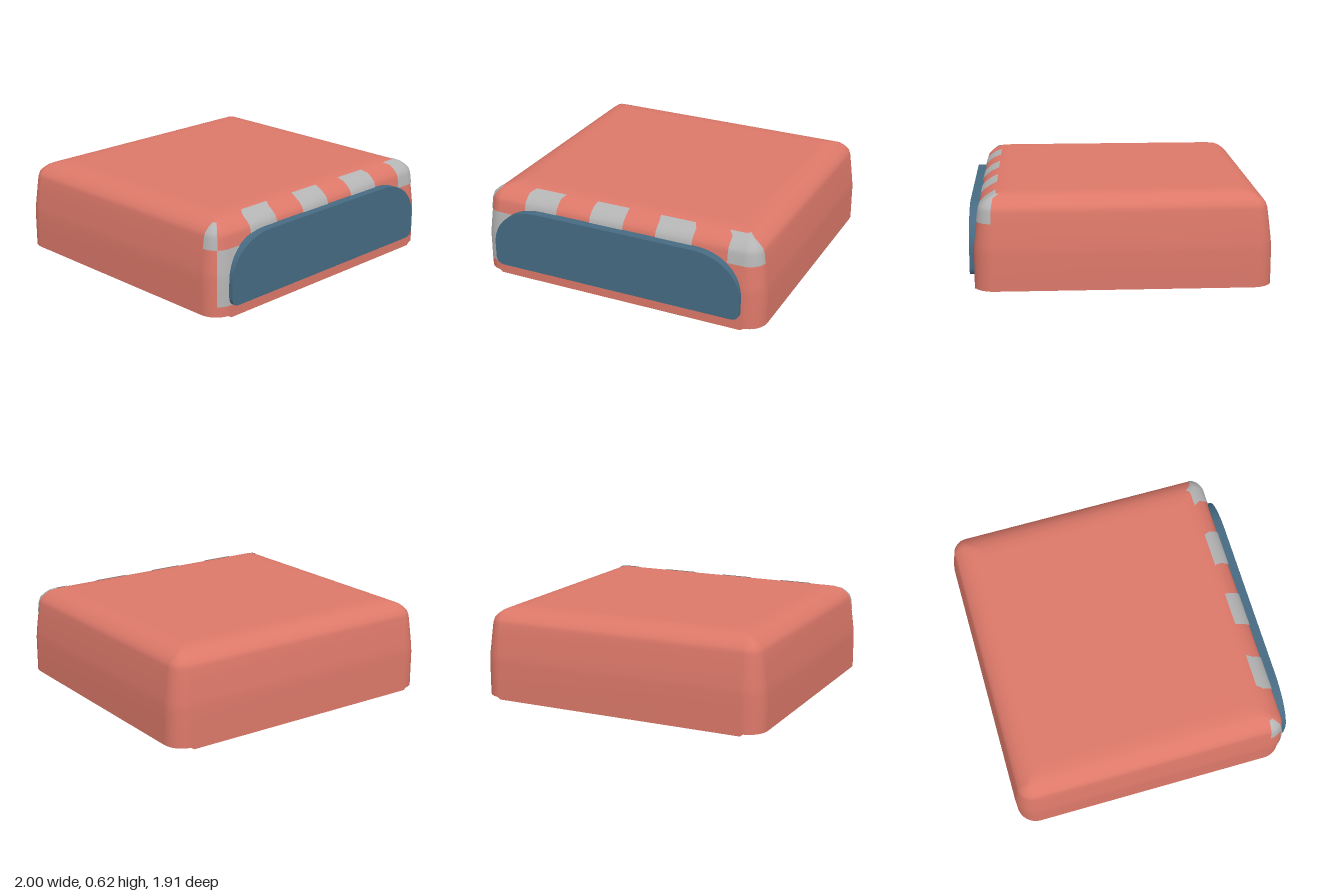
import * as THREE from 'three';

const mat = (name, color, side = THREE.FrontSide) => {
  const m = new THREE.MeshStandardMaterial({ color, side });
  m.name = name;
  return m;
};

const HALF_X = 1, HALF_Z = 0.94, MID_Z = -0.015, RADIUS = 0.13;

// Wall profile: [height, inset from the widest outline]
const PROFILE = [[0, 0], [0.1, 0], [0.25, 0], [0.31, 0.005], [0.42, 0.019], [0.51, 0.031], [0.54, 0.042],
  [0.567, 0.07], [0.588, 0.1], [0.604, 0.135], [0.614, 0.18], [0.617, 0.24]];

// Point on the outline: |s| <= 1 is the straight front, 1..2 wraps the corner
function outlinePoint(s, y, inset, back = 1) {
  const r = Math.max(RADIUS - inset, 0.03);
  const core = HALF_X - inset - r;
  const a = Math.max(Math.abs(s) - 1, 0) * Math.PI / 2;
  const x = Math.sign(s) * (Math.min(Math.abs(s), 1) * core + r * Math.sin(a));
  const z = HALF_Z - inset - r + r * Math.cos(a);
  return new THREE.Vector3(x, y, MID_Z + back * z);
}

const STEPS = [];
for (let i = 0; i <= 10; i++) STEPS.push(-2 + i / 10);
for (let i = 0; i <= 10; i++) STEPS.push(1 + i / 10);

// Full closed outline; cornerLift raises the rounded corners
function ring(y, inset, cornerLift = 0) {
  const lift = s => y + cornerLift * Math.min(1, Math.max(0, (Math.abs(s) - 1) * 10));
  return [
    ...STEPS.map(s => outlinePoint(s, lift(s), inset)),
    ...[...STEPS].reverse().map(s => outlinePoint(s, lift(s), inset, -1)),
  ];
}

const centreRing = y => ring(y, 0).map(() => new THREE.Vector3(0, y, MID_Z));

// Skin a list of point rows
function skin(rows, closed) {
  const n = rows[0].length, index = [];
  for (let i = 0; i < rows.length - 1; i++) {
    for (let j = 0; j < (closed ? n : n - 1); j++) {
      const k = (j + 1) % n;
      const a = i * n + j, b = i * n + k, c = (i + 1) * n + k, d = (i + 1) * n + j;
      index.push(a, b, c, a, c, d);
    }
  }
  const g = new THREE.BufferGeometry().setFromPoints(rows.flat());
  g.setIndex(index);
  g.computeVertexNormals();
  return g;
}

function insetAt(y) {
  for (let i = 1; i < PROFILE.length; i++) {
    const [y0, i0] = PROFILE[i - 1], [y1, i1] = PROFILE[i];
    if (y <= y1) return i0 + (i1 - i0) * (y - y0) / (y1 - y0);
  }
  return PROFILE[PROFILE.length - 1][1];
}

// Thin painted patch following the shell surface
function patchGeometry(s0, s1, y0, y1) {
  const heights = [y0, ...PROFILE.map(p => p[0]).filter(y => y > y0 && y < y1), y1];
  const cols = [s0, ...STEPS.filter(s => s > s0 && s < s1), s1];
  return skin(heights.map(y => cols.map(s => outlinePoint(s, y + 0.003, insetAt(y) - 0.004))), false);
}

export function createModel() {
  const model = new THREE.Group();
  const coral = mat('coral', 0xdc7869);
  const blue = mat('slateBlue', 0x476b83);
  const grey = mat('lightGrey', 0xb4b4b4, THREE.DoubleSide);
  const add = (name, geometry, material) => {
    const m = new THREE.Mesh(geometry, material);
    m.name = name;
    model.add(m);
    return m;
  };

  // Outer shell with a flat top
  const shellRows = PROFILE.map(([y, inset], i) => ring(y, inset, i === 0 ? 0.015 : 0));
  add('shell', skin([...shellRows, centreRing(0.617)], true), coral);

  // Thin bottom rim
  const WALL = 0.025;
  add('bottomRim', skin([ring(0, WALL, 0.015), ring(0, 0, 0.015)], true), coral);

  // Hollow underside: walls and ceiling, facing inward
  add('innerWalls', skin([ring(0.3, 0.07), ring(0.285, 0.045), ring(0.25, 0.032), ring(0, WALL, 0.015)], true), blue);
  add('innerCeiling', skin([centreRing(0.3), ring(0.3, 0.07)], true), blue);

  // Raised front panel with large upper corners
  const L = -0.89, R = 0.87, B = 0.08, T = 0.505, c = 0.06;
  const outline = new THREE.Shape();
  outline.moveTo(L + c, B);
  outline.lineTo(R - c, B);
  outline.quadraticCurveTo(R, B, R, B + c);
  outline.lineTo(R, 0.23);
  outline.bezierCurveTo(R, 0.39, R - 0.14, T, R - 0.33, T);
  outline.lineTo(L + 0.33, T);
  outline.bezierCurveTo(L + 0.14, T, L, 0.39, L, 0.23);
  outline.lineTo(L, B + c);
  outline.quadraticCurveTo(L, B, L + c, B);
  const panel = new THREE.ExtrudeGeometry(outline, { depth: 0.085, bevelEnabled: false, curveSegments: 16 });
  add('frontPanel', panel, blue).position.z = 0.87;

  // Grey blocks along the upper front edge and around the front corners
  [
    ['leftEdgeBlock', -0.78, -0.51, 0.46, 0.606],
    ['middleEdgeBlock', -0.23, 0.045, 0.46, 0.606],
    ['rightEdgeBlock', 0.31, 0.6, 0.46, 0.606],
    ['rightCornerBlock', 0.88, 1.9, 0.44, 0.606],
    ['leftCornerBlock', -2, -1.45, 0.44, 0.59],
    ['leftSideBlock', -1.47, -0.9, 0.08, 0.44],
  ].forEach(([name, ...range]) => add(name, patchGeometry(...range), grey));

  return model;
}
